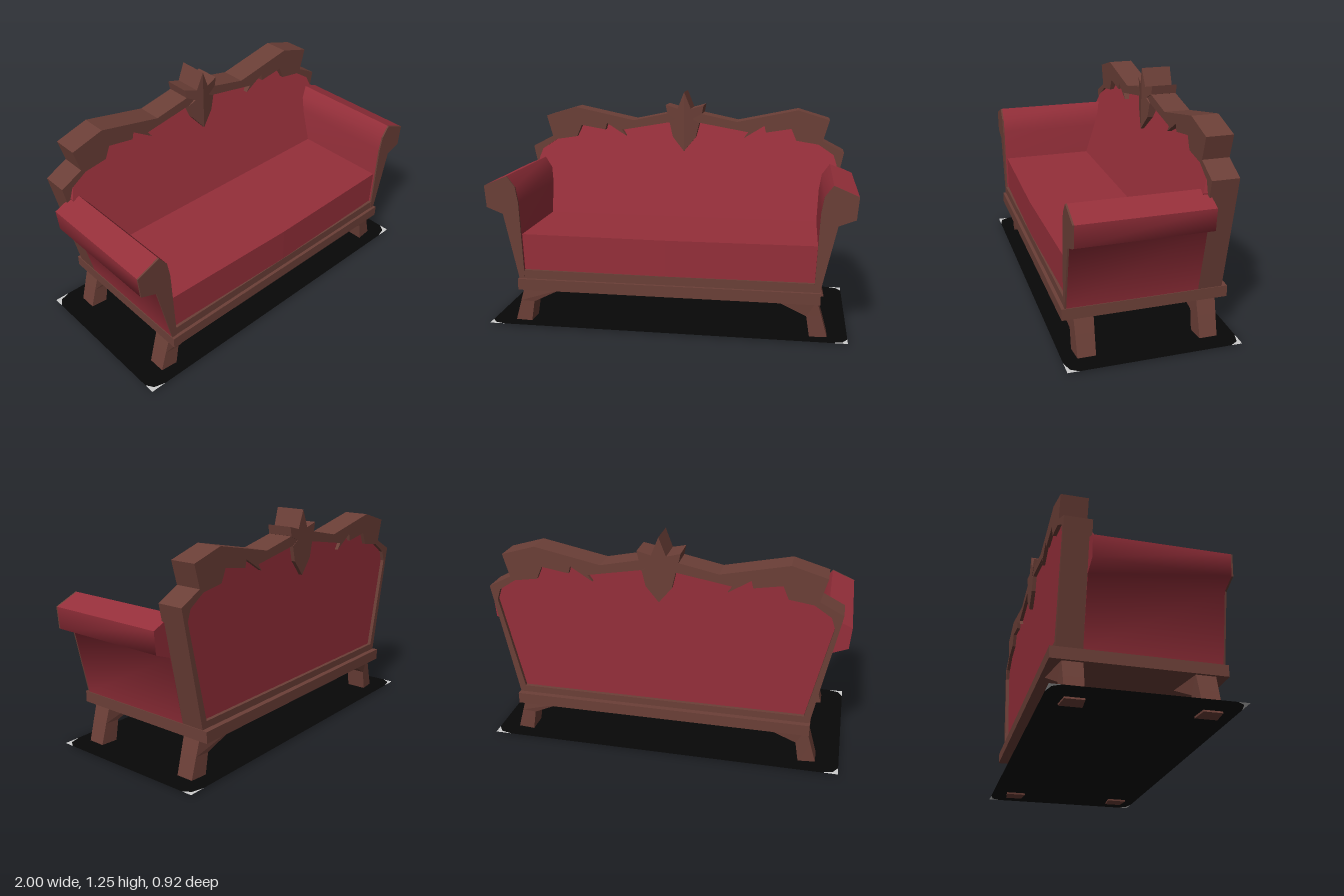
import * as THREE from 'three';
import { toCreasedNormals } from 'three/addons/utils/BufferGeometryUtils.js';

const std = (name, color, side = THREE.FrontSide) => {
  const m = new THREE.MeshStandardMaterial({ color, side });
  m.name = name;
  return m;
};

const mirror = pts => pts.map(([x, y]) => [-x, y]);
// full outline from its right half, listed bottom to top
const symmetric = half => [...half, ...mirror(half).reverse()];
const shapeOf = pts => new THREE.Shape(pts.map(p => new THREE.Vector2(...p)));

// outline in the xy plane, extruded between two depths
function slab(shape, z0, z1) {
  const g = new THREE.ExtrudeGeometry(shape, { depth: z1 - z0, bevelEnabled: false });
  return g.translate(0, 0, z0);
}

// reshape the front vertices of a slab: z = rule(x, y)
function shapeFront(g, zMid, rule) {
  const p = g.attributes.position;
  for (let i = 0; i < p.count; i++) {
    if (p.getZ(i) > zMid) p.setZ(i, rule(p.getX(i), p.getY(i)));
  }
  g.computeVertexNormals();
  return g;
}

// back frame, right half of the outer and inner edges
const FRAME_OUTER = [[0.82, 0.27], [0.95, 0.91], [0.825, 0.975], [0.86, 1.1],
  [0.675, 1.155], [0.315, 1.08], [0.1, 1.125]];
const FRAME_INNER = [[0.79, 0.31], [0.91, 0.835], [0.89, 0.895], [0.8, 0.955], [0.67, 0.975],
  [0.64, 1.045], [0.49, 1.02], [0.48, 1.06], [0.36, 0.985], [0.385, 1.02], [0.1, 1.07]];

// scrolled arm, seen from the front
const ARM = [[0.79, 0.27], [0.82, 0.27], [0.9, 0.635], [0.99, 0.67], [1, 0.79],
  [0.87, 0.845], [0.825, 0.785], [0.81, 0.7]];

// right half of the crest ornament
const CREST = [[0, 0.9], [0.07, 0.985], [0.09, 1.07], [0.05, 1.095], [0.105, 1.125],
  [0.115, 1.175], [0.04, 1.155], [0, 1.255]];

// leg sections from foot to top: y, inner x, outer x, half depth inside and outside
const LEG = [[0, 0.775, 0.87, 0.057, 0.048], [0.125, 0.755, 0.835, 0.058, 0.05],
  [0.21, 0.595, 0.81, 0.088, 0.052]];

function legGeometry(side) {
  const g = new THREE.BoxGeometry(1, 1, 1, 1, 2, 1).toNonIndexed();
  const p = g.attributes.position;
  for (let i = 0; i < p.count; i++) {
    const [y, xi, xo, di, d] = LEG[Math.round((p.getY(i) + 0.5) * 2)];
    const outer = p.getX(i) * side > 0;
    p.setXYZ(i, side * (outer ? xo : xi), y, Math.sign(p.getZ(i)) * (outer ? d : di));
  }
  g.computeVertexNormals();
  return g;
}

export function createModel() {
  const wood = std('wood', 0x6b3f37);
  const fabric = std('red upholstery', 0x952f3a);
  const black = std('black mat', 0x080808, THREE.DoubleSide);
  const grey = std('grey mat corner', 0xcccccc, THREE.DoubleSide);

  const model = new THREE.Group();
  model.name = 'sofa';
  const add = (name, geometry, material, x = 0, y = 0, z = 0) => {
    const m = new THREE.Mesh(geometry, material);
    m.name = name;
    m.position.set(x, y, z);
    model.add(m);
    return m;
  };
  const box = (name, material, w, y0, y1, z0, z1) =>
    add(name, new THREE.BoxGeometry(w, y1 - y0, z1 - z0), material, 0, (y0 + y1) / 2, (z0 + z1) / 2);

  // base and front rail
  box('baseFrame', wood, 1.65, 0.21, 0.272, -0.433, 0.45);
  box('frontRail', wood, 1.6, 0.27, 0.32, 0.3, 0.432);

  // seat cushion, front gently bowed
  const seat = new THREE.BoxGeometry(1.61, 0.23, 0.67, 2, 1, 1).toNonIndexed();
  shapeFront(seat, 0, x => (Math.abs(x) < 0.1 ? 0.345 : 0.33));
  add('seatCushion', seat, fabric, 0, 0.405, 0.085);

  // carved back frame with an opening
  const frame = shapeOf(symmetric(FRAME_OUTER));
  frame.holes.push(new THREE.Path(symmetric(FRAME_INNER).map(p => new THREE.Vector2(...p))));
  add('backFrame', slab(frame, -0.403, -0.258), wood);

  // sloping back cushion, set in from the rear of the frame
  const back = slab(shapeOf(symmetric(FRAME_INNER)), -0.383, -0.2);
  add('backCushion', shapeFront(back, -0.3, (x, y) => -0.13 - (y - 0.52) * 0.333), fabric);

  // crest ornament, two halves meeting in a ridge
  for (const pts of [CREST, mirror(CREST)]) {
    const half = slab(shapeOf(pts), -0.405, -0.237);
    add('crestOrnament', shapeFront(half, -0.3, x => -0.237 - 0.2 * Math.abs(x)), wood);
  }

  for (const side of [1, -1]) {
    const label = side > 0 ? 'left' : 'right';
    const outline = shapeOf(side > 0 ? ARM : mirror(ARM));
    // upholstered arm and its wooden front
    add(label + 'Arm', toCreasedNormals(slab(outline, -0.272, 0.425), 1.25), fabric);
    add(label + 'ArmFront', slab(outline, 0.425, 0.434), wood);
    // legs
    add(label + 'FrontLeg', legGeometry(side), wood, 0, 0, 0.335);
    add(label + 'BackLeg', legGeometry(side), wood, 0, 0, -0.32);
  }

  // flat mat with clipped corners
  const X = 0.985, Z = 0.462, cx = 0.09, cz = 0.06;
  const flat = pts => new THREE.ShapeGeometry(shapeOf(pts)).rotateX(-Math.PI / 2);
  const edge = [[X - cx, -Z], [X - cx * 0.3, -Z + cz * 0.3], [X, -Z + cz],
    [X, Z - cz], [X - cx * 0.3, Z - cz * 0.3], [X - cx, Z]];
  add('mat', flat(symmetric(edge)), black, -0.01, 0.01, 0);
  for (const sx of [1, -1]) for (const sz of [1, -1]) {
    const corner = [[X, Z], ...edge.slice(3)].map(([x, z]) => [x * sx, z * sz]);
    add('matCorner', flat(corner), grey, -0.01, 0.01, 0);
  }
  return model;
}
